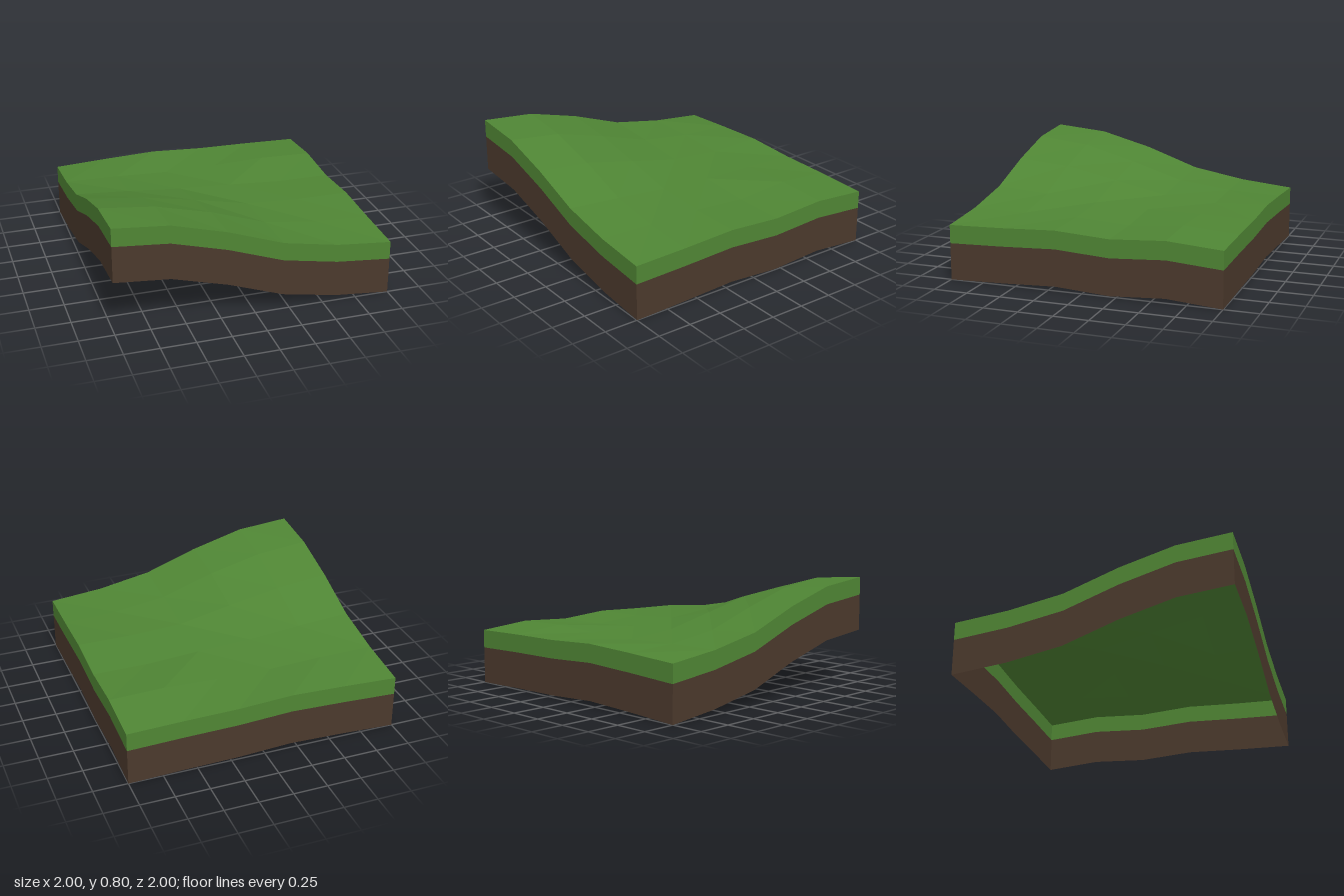
import * as THREE from 'three';

const N = 5, STEP = 2 / N;

// Ground height at each grid point: rows run from back to front, columns from x = -1 to x = 1
const HEIGHTS = [
  [0.40, 0.42, 0.435, 0.415, 0.41, 0.40],
  [0.44, 0.435, 0.42, 0.425, 0.44, 0.43],
  [0.512, 0.485, 0.45, 0.43, 0.405, 0.405],
  [0.655, 0.61, 0.535, 0.45, 0.43, 0.43],
  [0.763, 0.72, 0.62, 0.485, 0.43, 0.412],
  [0.80, 0.765, 0.655, 0.513, 0.438, 0.40],
];
const TURF = 0.133, DEPTH = 0.4;

const point = (i, j) => new THREE.Vector3(-1 + i * STEP, HEIGHTS[j][i], -1 + j * STEP);
const lower = (p, d) => new THREE.Vector3(p.x, p.y - d, p.z);

// Faceted mesh from a flat list of triangle corners
function facetMesh(name, corners, material) {
  const geometry = new THREE.BufferGeometry().setFromPoints(corners);
  geometry.computeVertexNormals();
  const mesh = new THREE.Mesh(geometry, material);
  mesh.name = name;
  return mesh;
}

// Band following the ground line along one edge, between two depths
function edgeBand(edge, top, bottom) {
  const corners = [];
  for (let k = 0; k < N; k++) {
    const a = edge[k], b = edge[k + 1];
    const a0 = lower(a, bottom), b0 = lower(b, bottom), a1 = lower(a, top), b1 = lower(b, top);
    corners.push(a0, b0, b1, a0, b1, a1);
  }
  return corners;
}

export function createModel() {
  const grass = new THREE.MeshStandardMaterial({ color: 0x4f8534 });
  grass.name = 'grass';
  grass.side = THREE.DoubleSide;
  const soil = new THREE.MeshStandardMaterial({ color: 0x4b392c });
  soil.name = 'soil';
  soil.side = THREE.DoubleSide;

  const tile = new THREE.Group();
  tile.name = 'hillCornerTile';

  // Grass surface, with the cell diagonals turned to suit the slope
  const ground = [];
  for (let j = 0; j < N; j++) {
    for (let i = 0; i < N; i++) {
      const a = point(i, j), b = point(i, j + 1), c = point(i + 1, j + 1), d = point(i + 1, j);
      if (j === 0 || i - j > 1) ground.push(a, b, d, b, c, d);
      else ground.push(a, b, c, a, c, d);
    }
  }
  tile.add(facetMesh('grassSurface', ground, grass));

  // Four open-bottomed sides: a turf band over a soil band
  const steps = [...Array(N + 1).keys()];
  const edges = {
    front: steps.map(k => point(k, N)),
    right: steps.map(k => point(N, N - k)),
    back: steps.map(k => point(N - k, 0)),
    left: steps.map(k => point(0, k)),
  };
  // Model's own left is +x
  const sideName = { front: 'front', right: 'left', back: 'back', left: 'right' };
  for (const [key, edge] of Object.entries(edges)) {
    tile.add(facetMesh(sideName[key] + 'TurfBand', edgeBand(edge, 0, TURF), grass));
    tile.add(facetMesh(sideName[key] + 'SoilBand', edgeBand(edge, TURF, DEPTH), soil));
  }
  return tile;
}
